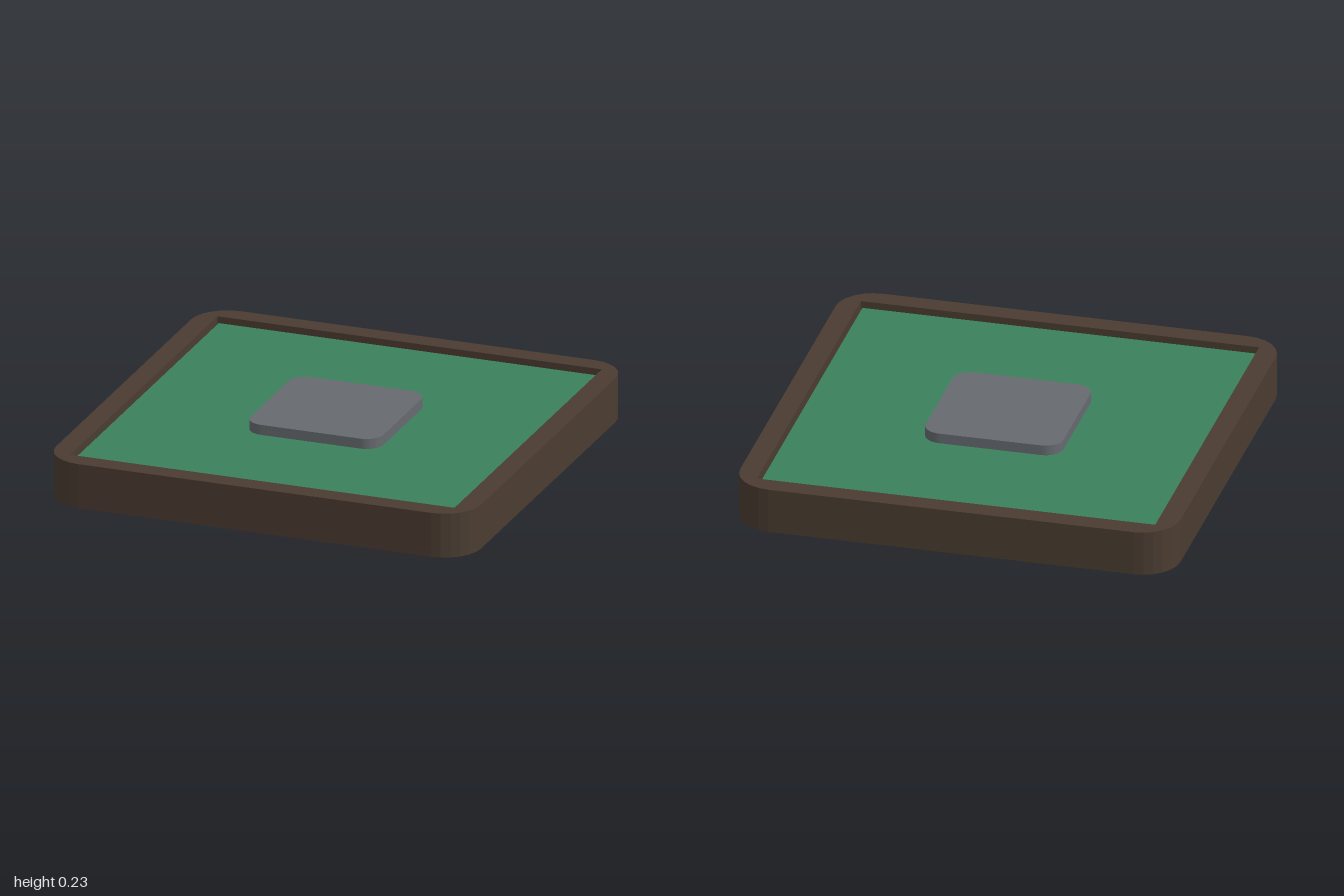
import * as THREE from 'three';

// Square outline with rounded corners, centred on the origin
function roundedSquare(half, r) {
  const s = new THREE.Shape();
  const c = half - r;
  s.moveTo(half, -c);
  s.absarc(c, c, r, 0, Math.PI / 2);
  s.absarc(-c, c, r, Math.PI / 2, Math.PI);
  s.absarc(-c, -c, r, Math.PI, Math.PI * 1.5);
  s.absarc(c, -c, r, Math.PI * 1.5, Math.PI * 2);
  return s;
}

// Upright slab from y = bottom to y = top
function slab(name, shape, bottom, top, curveSegments, material) {
  const geo = new THREE.ExtrudeGeometry(shape, { depth: top - bottom, bevelEnabled: false, curveSegments });
  geo.rotateX(-Math.PI / 2);
  geo.translate(0, bottom, 0);
  const mesh = new THREE.Mesh(geo, material);
  mesh.name = name;
  return mesh;
}

export function createModel() {
  const brown = new THREE.MeshStandardMaterial({ color: 0x4a3c31 });
  brown.name = 'dark brown';
  const green = new THREE.MeshStandardMaterial({ color: 0x3a805b });
  green.name = 'green';
  const grey = new THREE.MeshStandardMaterial({ color: 0x666a6f });
  grey.name = 'grey';

  const model = new THREE.Group();
  model.name = 'tray';

  // Base and raised rim, with a square recess
  const floorY = 0.155, rimY = 0.207, inner = 0.905;
  model.add(slab('base', roundedSquare(1, 0.17), 0, floorY, 3, brown));
  const rim = roundedSquare(1, 0.17);
  const hole = new THREE.Path();
  hole.moveTo(-inner, -inner);
  hole.lineTo(-inner, inner);
  hole.lineTo(inner, inner);
  hole.lineTo(inner, -inner);
  hole.closePath();
  rim.holes.push(hole);
  model.add(slab('rim', rim, floorY, rimY, 3, brown));

  // Green panel, leaving a narrow gap inside the rim
  const panel = new THREE.Mesh(new THREE.BoxGeometry(1.79, 0.025, 1.79), green);
  panel.name = 'panel';
  panel.position.y = floorY + 0.0125;
  model.add(panel);

  // Rounded pad in the middle
  model.add(slab('pad', roundedSquare(0.313, 0.08), 0.18, 0.227, 6, grey));

  return model;
}
